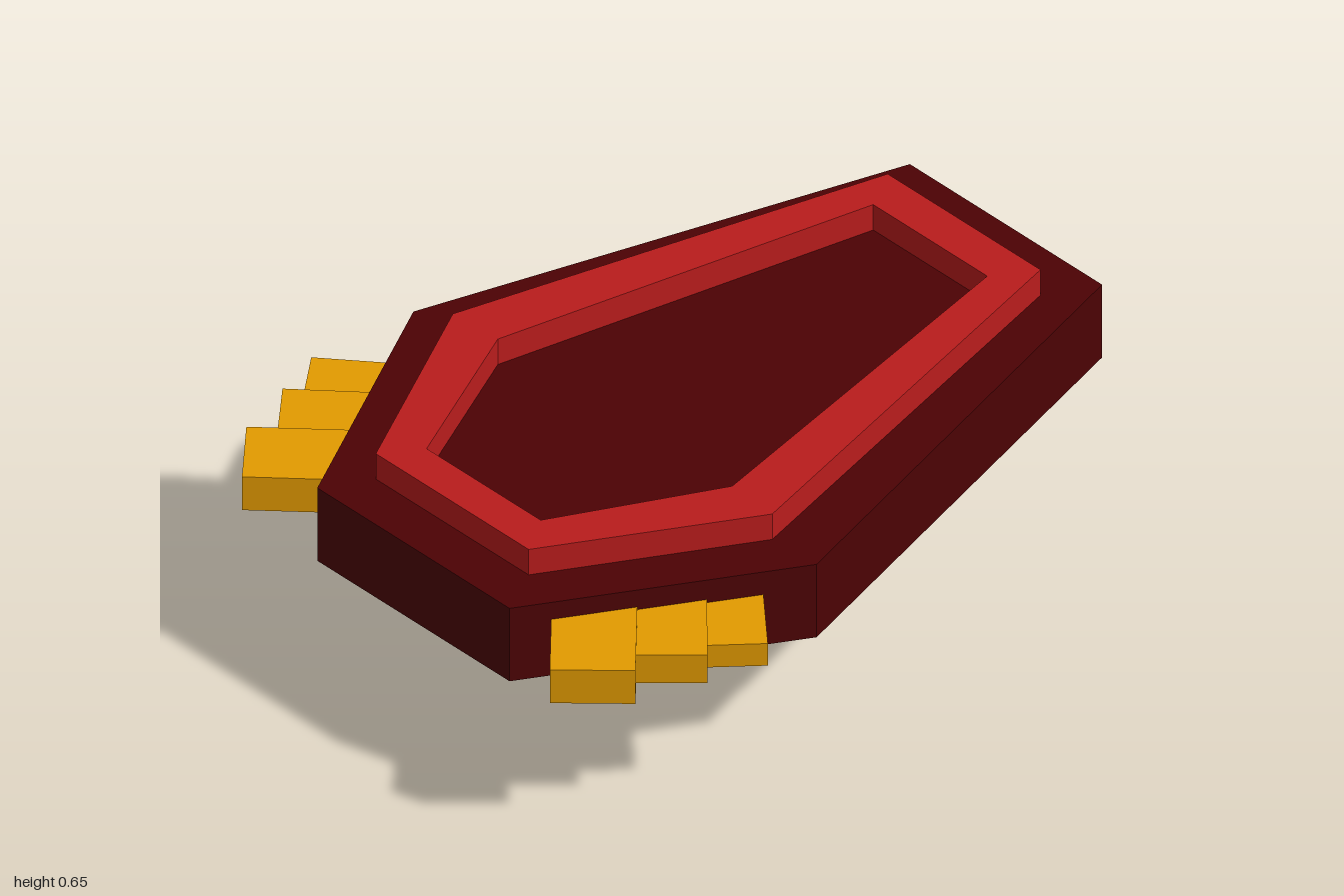
import * as THREE from 'three';

const paint = (name, color) => {
  const m = new THREE.MeshStandardMaterial({ color });
  m.name = name;
  return m;
};

// Six-sided tapered outline, mirrored in x, counter-clockwise; input points are [half width, z]
function outline(half, PathType) {
  const right = half.map(([x, z]) => new THREE.Vector2(-x, -z));
  const left = half.map(([x, z]) => new THREE.Vector2(x, -z)).reverse();
  return new PathType([...right, ...left]);
}

// Extrudes a shape upwards between two heights
function slab(shape, y0, y1) {
  const g = new THREE.ExtrudeGeometry(shape, { depth: y1 - y0, bevelEnabled: false });
  return g.rotateX(-Math.PI / 2).translate(0.004, y0, 0);
}

export function createModel() {
  const model = new THREE.Group();
  model.name = 'coffinShield';
  const maroon = paint('dark maroon', 0x4c0204);
  const red = paint('red', 0xb91c1c);
  const gold = paint('gold', 0xe39b00);

  const add = (name, geometry, material, parent = model) => {
    const mesh = new THREE.Mesh(geometry, material);
    mesh.name = name;
    parent.add(mesh);
    return mesh;
  };

  // Main plate
  const plate = outline([[0.337, -1], [0.707, 0.28], [0.337, 0.94]], THREE.Shape);
  add('plate', slab(plate, 0.365, 0.58), maroon);

  // Raised rim
  const rim = outline([[0.268, -0.863], [0.56, 0.288], [0.268, 0.813]], THREE.Shape);
  rim.holes.push(outline([[0.2, -0.752], [0.411, 0.28], [0.2, 0.71]], THREE.Path));
  add('rim', slab(rim, 0.575, 0.655), red);

  // U-shaped grip underneath, profile in z and y
  const grip = new THREE.Shape([
    [-0.49, 0], [0.1, 0], [0.1, 0.37], [0.05, 0.37],
    [0.05, 0.108], [-0.442, 0.108], [-0.442, 0.37], [-0.49, 0.37],
  ].map(([a, b]) => new THREE.Vector2(a, b)));
  const gripGeo = new THREE.ExtrudeGeometry(grip, { depth: 0.105, bevelEnabled: false });
  gripGeo.rotateY(Math.PI / 2).translate(-0.047, 0, 0);
  add('handle', gripGeo, gold);

  // Three spikes per side: tip centre x and z, width, height, angle in degrees
  const spikes = [
    [0.611, 0.92, 0.205, 0.098, 44],
    [0.68, 0.739, 0.19, 0.083, 43],
    [0.753, 0.58, 0.148, 0.065, 40],
  ];
  const length = 0.3;
  for (const [side, name] of [[1, 'left'], [-1, 'right']]) {
    const group = new THREE.Group();
    group.name = name + 'Spikes';
    model.add(group);
    spikes.forEach(([x, z, width, height, degrees], i) => {
      const angle = THREE.MathUtils.degToRad(degrees);
      const spike = add(name + 'Spike' + (i + 1), new THREE.BoxGeometry(length, height, width), gold, group);
      spike.position.set(side * (x - Math.cos(angle) * length / 2), 0.481, z - Math.sin(angle) * length / 2);
      spike.rotation.y = -side * angle;
    });
  }
  return model;
}
